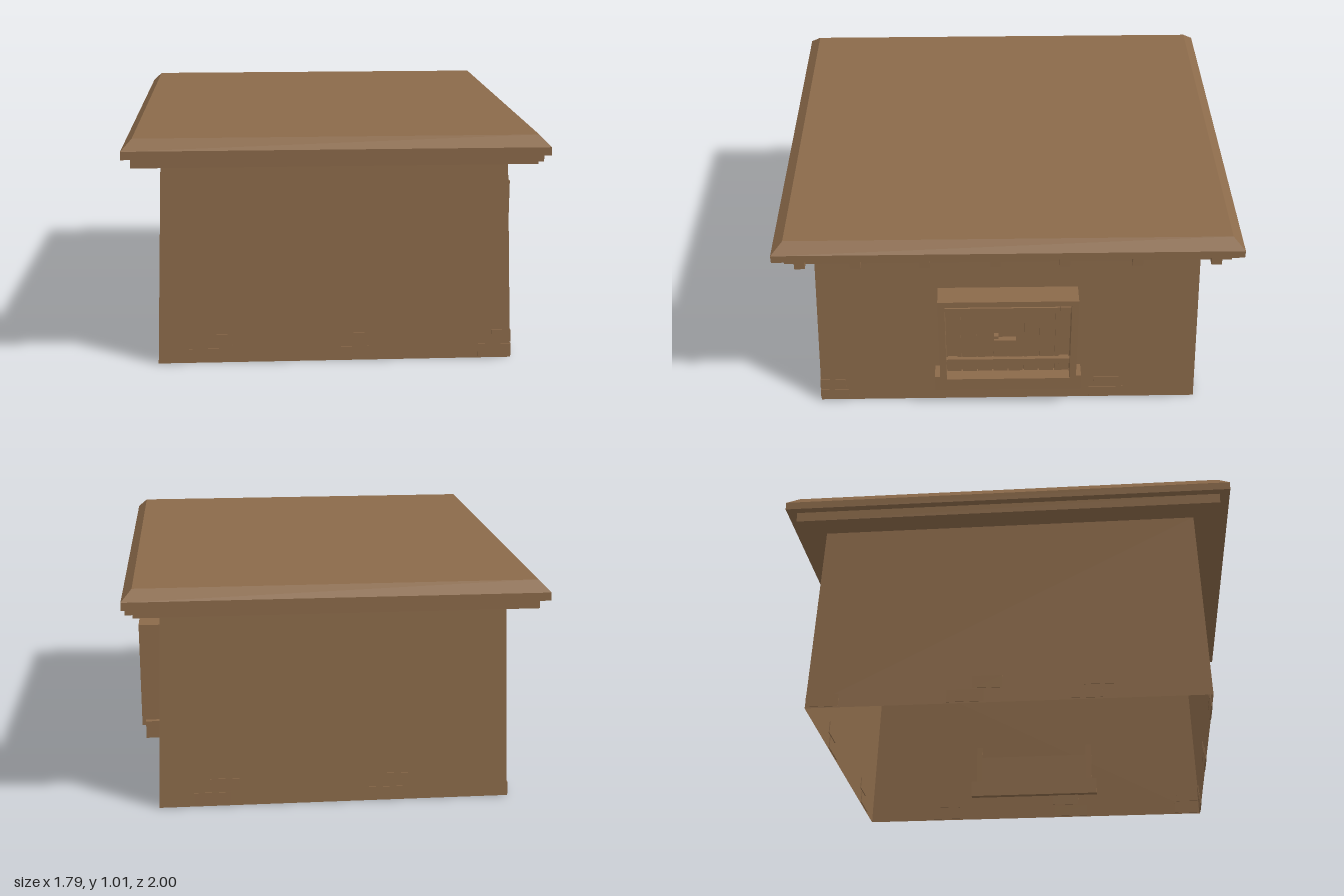
import * as THREE from 'three';

export function createModel() {
  const model = new THREE.Group();
  model.name = 'shed';
  const wood = new THREE.MeshStandardMaterial({ color: 0x8b6a4a, flatShading: true, side: THREE.DoubleSide });
  wood.name = 'brown';

  // Four-sided block whose top is scaled by a ratio
  function taper(name, halfX, halfZ, y0, y1, ratio, open) {
    const r = Math.SQRT2;
    const geo = new THREE.CylinderGeometry(r * ratio, r, y1 - y0, 4, 1, open);
    geo.rotateY(Math.PI / 4).scale(halfX, 1, halfZ);
    const mesh = new THREE.Mesh(geo, wood);
    mesh.name = name;
    mesh.position.y = (y0 + y1) / 2;
    model.add(mesh);
  }

  // Box given by its limits on each axis
  function box(name, x0, x1, y0, y1, z0, z1, parent = model) {
    const mesh = new THREE.Mesh(new THREE.BoxGeometry(x1 - x0, y1 - y0, z1 - z0), wood);
    mesh.name = name;
    mesh.position.set((x0 + x1) / 2, (y0 + y1) / 2, (z0 + z1) / 2);
    parent.add(mesh);
    return mesh;
  }

  // Leaning walls, open underneath
  taper('walls', 0.774, 0.875, 0, 0.892, 0.96, true);

  // Roof: ceiling slab, eaves and bevelled top
  box('ceilingSlab', -0.86, 0.85, 0.89, 0.936, -0.955, 0.955);
  box('eaves', -0.895, 0.895, 0.935, 0.97, -1, 1);
  taper('roofTop', 0.895, 1, 0.97, 1.015, 0.95, false);

  // Rafter ends along the hatch side
  for (const z of [-0.885, -0.55, -0.24, 0.055, 0.355, 0.65, 0.885]) {
    box('rafterEnd', 0.8, 0.885, 0.89, 0.935, z - 0.022, z + 0.022);
  }

  // Hatch: frame, sill, planks, battens, hinges and latch
  const hatch = new THREE.Group();
  hatch.name = 'hatch';
  model.add(hatch);
  box('frameTop', 0.76, 0.86, 0.64, 0.67, -0.31, 0.31, hatch);
  box('frameBottom', 0.76, 0.86, 0.175, 0.205, -0.31, 0.31, hatch);
  for (const s of [-1, 1]) {
    const c = s * 0.295;
    box('frameSide', 0.76, 0.86, 0.205, 0.64, c - 0.015, c + 0.015, hatch);
  }
  box('sill', 0.74, 0.842, 0.12, 0.203, -0.335, 0.335, hatch);
  box('hatchBack', 0.762, 0.795, 0.2, 0.645, -0.285, 0.285, hatch);
  for (let i = 0; i < 8; i++) {
    const z = -0.28 + i * 0.07;
    box('plank', 0.79, 0.808, 0.207, 0.638, z + 0.003, z + 0.067, hatch);
  }
  for (const y of [0.28, 0.588]) {
    box('batten', 0.805, 0.825, y - 0.015, y + 0.015, -0.28, 0.28, hatch);
    for (const z of [-0.252, 0.252]) {
      box('hinge', 0.805, 0.832, y - 0.022, y + 0.022, z - 0.022, z + 0.022, hatch);
    }
  }
  box('latchPlate', 0.805, 0.83, 0.39, 0.44, 0.043, 0.063, hatch);
  box('latchBar', 0.815, 0.84, 0.408, 0.424, -0.035, 0.063, hatch);

  // Bricks at the foot of each wall: [left, right, row] as seen facing that wall
  const sides = [
    { name: 'frontBricks', turn: 0, dist: 0.875, lean: 0.039,
      bricks: [[-0.64, -0.48, 0], [-0.58, -0.45, 1], [-0.01, 0.145, 0], [0.07, 0.19, 1], [0.63, 0.772, 0], [0.69, 0.77, 1]] },
    { name: 'leftBricks', turn: Math.PI / 2, dist: 0.774, lean: 0.035,
      bricks: [[-0.873, -0.745, 0], [-0.87, -0.755, 1], [-0.28, -0.11, 0], [-0.235, -0.1, 1], [0.38, 0.54, 0], [0.4, 0.52, 1]] },
    { name: 'backBricks', turn: Math.PI, dist: 0.875, lean: 0.039,
      bricks: [[-0.62, -0.46, 0], [-0.55, -0.42, 1], [0.14, 0.3, 0], [0.2, 0.33, 1]] },
    { name: 'rightBricks', turn: -Math.PI / 2, dist: 0.774, lean: 0.035,
      bricks: [[-0.873, -0.73, 0], [-0.26, -0.1, 0], [-0.15, -0.02, 1], [0.25, 0.41, 0], [0.33, 0.46, 1]] },
  ];
  for (const { name, turn, dist, lean, bricks } of sides) {
    const wall = new THREE.Group();
    wall.name = name;
    wall.rotation.y = turn;
    const face = new THREE.Group();
    face.position.z = dist;
    face.rotation.x = -lean;
    for (const [x0, x1, row] of bricks) {
      const y = 0.006 + row * 0.063;
      box('brick', x0, x1, y, y + 0.057, -0.004, 0.003, face);
    }
    wall.add(face);
    model.add(wall);
  }
  return model;
}
